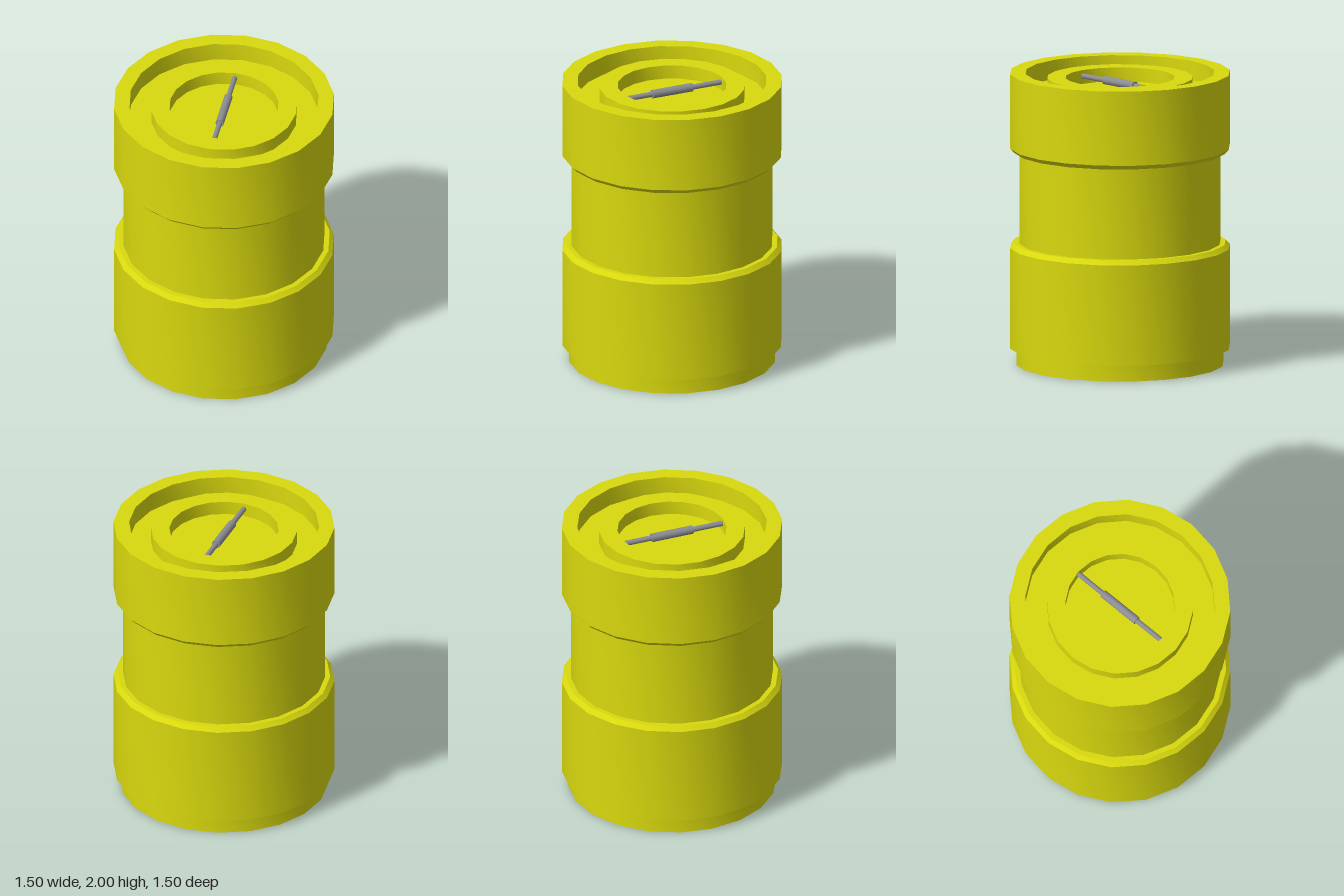
import * as THREE from 'three';
import { toCreasedNormals } from 'three/addons/utils/BufferGeometryUtils.js';

const SIDES = 20;

export function createModel() {
  const model = new THREE.Group();
  model.name = 'canister';

  const yellow = new THREE.MeshStandardMaterial({ color: 0xd8d80e });
  const grey = new THREE.MeshStandardMaterial({ color: 0x8c8c94 });

  // Revolves a [radius, height] profile, keeping its corners sharp
  function addLathe(name, profile) {
    const points = profile.map(([r, y]) => new THREE.Vector2(r, y));
    const geometry = toCreasedNormals(new THREE.LatheGeometry(points, SIDES), Math.PI / 6);
    const mesh = new THREE.Mesh(geometry, yellow);
    mesh.name = name;
    model.add(mesh);
  }

  // Body: foot, lower drum, narrow waist, upper drum and recessed top
  addLathe('body', [
    [0, 0], [0.705, 0], [0.705, 0.115], [0.748, 0.115],
    [0.748, 0.805], [0.72, 0.835], [0.685, 0.835],
    [0.685, 1.46], [0.72, 1.46], [0.748, 1.49],
    [0.748, 2], [0.643, 2], [0.643, 1.87], [0, 1.87],
  ]);

  // Raised ring around the handle recess
  addLathe('lidRing', [[0.495, 1.87], [0.495, 1.965], [0.37, 1.965], [0.37, 1.87]]);

  // Handle: thin bar across the recess with a thicker grip
  const handle = new THREE.Group();
  handle.name = 'handle';
  for (const [name, radius, length] of [['handleBar', 0.018, 0.74], ['handleGrip', 0.029, 0.3]]) {
    const rod = new THREE.Mesh(new THREE.CylinderGeometry(radius, radius, length, 12), grey);
    rod.name = name;
    rod.rotation.x = Math.PI / 2;
    handle.add(rod);
  }
  handle.position.y = 1.925;
  model.add(handle);

  return model;
}
